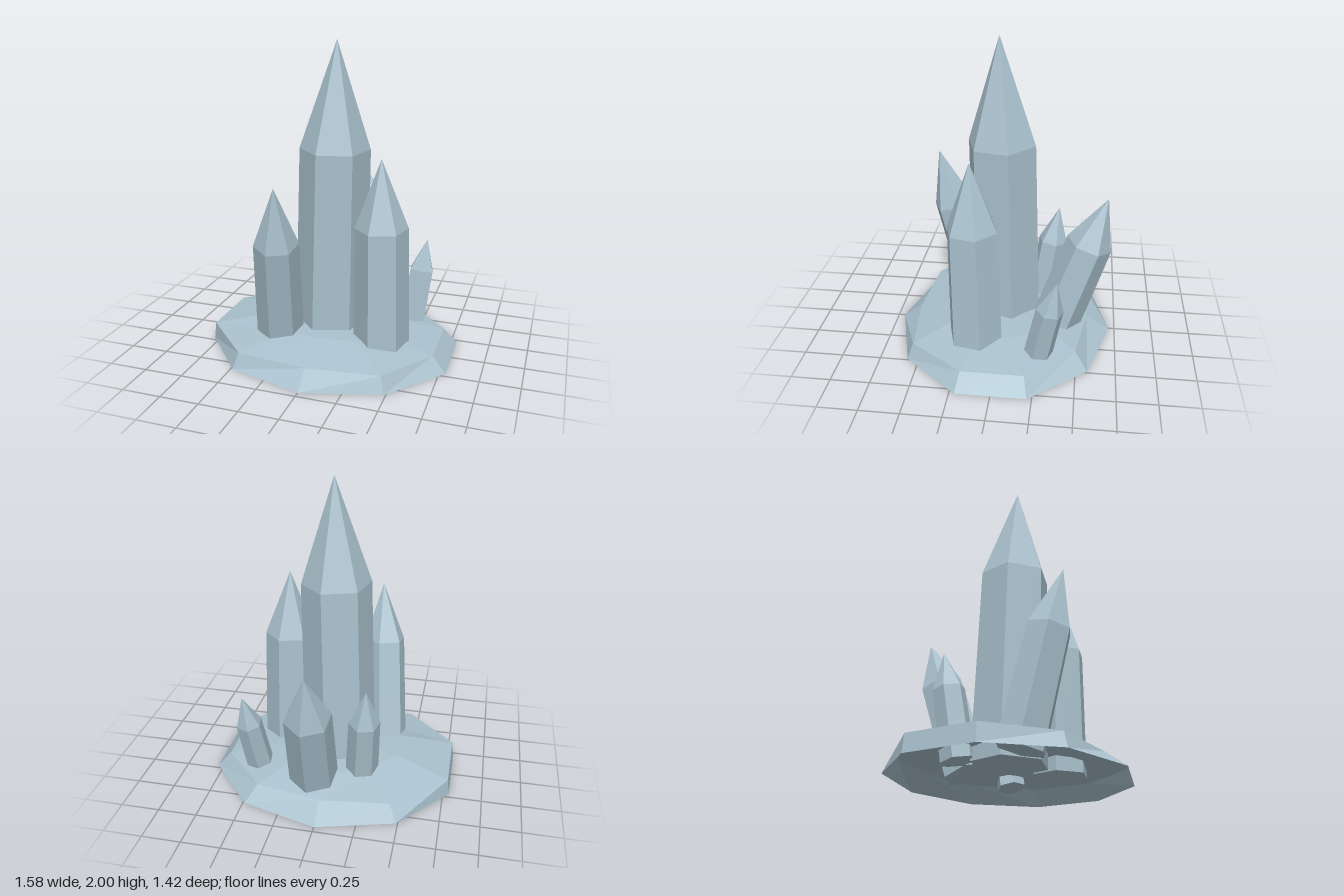
import * as THREE from 'three';

const paleBlue = new THREE.MeshStandardMaterial({ color: 0xa9c1cd, flatShading: true, side: THREE.DoubleSide });
paleBlue.name = 'pale blue crystal';

// Hollow faceted mound: ten-sided elliptical rings closed by a centre point
function createRockBase() {
  const sides = 10;
  const rings = [
    { scale: Array(sides).fill(1), y: Array(sides).fill(0) },
    {
      scale: [0.82, 0.94, 0.89, 0.89, 0.86, 0.79, 0.9, 0.985, 0.985, 0.94],
      y: [0.095, 0.1, 0.1, 0.1, 0.1, 0.09, 0.1, 0.11, 0.11, 0.1],
    },
    {
      scale: [0.44, 0.5, 0.53, 0.5, 0.56, 0.5, 0.5, 0.55, 0.55, 0.5],
      y: [0.165, 0.165, 0.15, 0.155, 0.15, 0.15, 0.16, 0.185, 0.185, 0.165],
    },
  ];
  const positions = [];
  for (const ring of rings) {
    for (let k = 0; k < sides; k++) {
      const a = (k / sides) * Math.PI * 2;
      positions.push(0.83 * Math.sin(a) * ring.scale[k], ring.y[k], 0.71 * Math.cos(a) * ring.scale[k]);
    }
  }
  positions.push(0, 0.18, 0);
  const index = [];
  for (let k = 0; k < sides; k++) {
    const n = (k + 1) % sides;
    for (let r = 0; r < 2; r++) {
      const a = r * sides + k, b = r * sides + n;
      index.push(a, b, b + sides, a, b + sides, a + sides);
    }
    index.push(2 * sides + k, 2 * sides + n, 3 * sides);
  }
  const geometry = new THREE.BufferGeometry();
  geometry.setAttribute('position', new THREE.Float32BufferAttribute(positions, 3));
  geometry.setIndex(index);
  const flat = geometry.toNonIndexed();
  flat.computeVertexNormals();
  const mesh = new THREE.Mesh(flat, paleBlue);
  mesh.name = 'rockBase';
  return mesh;
}

// Six-sided shaft and pointed cap along the line from base to tip.
// turn is the angle in degrees of one corner, measured from +x towards +z.
function createCrystal({ name, base, tip, radius, turn }) {
  const start = new THREE.Vector3(...base);
  const axis = new THREE.Vector3(...tip).sub(start);
  const length = axis.length();
  const shaft = length * 0.65;
  const shoulder = radius * 0.93;
  const group = new THREE.Group();
  group.name = name;

  const shaftGeometry = new THREE.CylinderGeometry(shoulder, radius, shaft, 6);
  shaftGeometry.translate(0, shaft / 2, 0);
  const capGeometry = new THREE.ConeGeometry(shoulder, length - shaft, 6, 1, true);
  capGeometry.translate(0, (length + shaft) / 2, 0);

  for (const [part, geometry] of [['shaft', shaftGeometry], ['point', capGeometry]]) {
    geometry.rotateY(THREE.MathUtils.degToRad(-turn - 30)); // cylinder corners start on +z
    const mesh = new THREE.Mesh(geometry, paleBlue);
    mesh.name = part;
    group.add(mesh);
  }
  group.position.copy(start);
  group.quaternion.setFromUnitVectors(new THREE.Vector3(0, 1, 0), axis.normalize());
  return group;
}

const crystals = [
  { name: 'mainCrystal', base: [-0.025, 0.08, -0.005], tip: [0.023, 2, 0.03], radius: 0.24, turn: -16 },
  { name: 'frontLeftCrystal', base: [0.36, 0.08, 0.145], tip: [0.347, 1.32, 0.172], radius: 0.178, turn: -16 },
  { name: 'frontRightCrystal', base: [-0.305, 0.08, 0.21], tip: [-0.23, 1.165, 0.467], radius: 0.152, turn: -24 },
  { name: 'backCrystal', base: [0.08, 0.09, -0.35], tip: [0.057, 1, -0.66], radius: 0.16, turn: -24 },
  { name: 'backRightCrystal', base: [-0.215, 0.09, -0.24], tip: [-0.25, 0.775, -0.345], radius: 0.108, turn: -14 },
  { name: 'backLeftCrystal', base: [0.465, 0.07, -0.255], tip: [0.537, 0.655, -0.372], radius: 0.092, turn: 21 },
];

export function createModel() {
  const model = new THREE.Group();
  model.name = 'crystalCluster';
  model.add(createRockBase());
  for (const crystal of crystals) model.add(createCrystal(crystal));
  return model;
}
